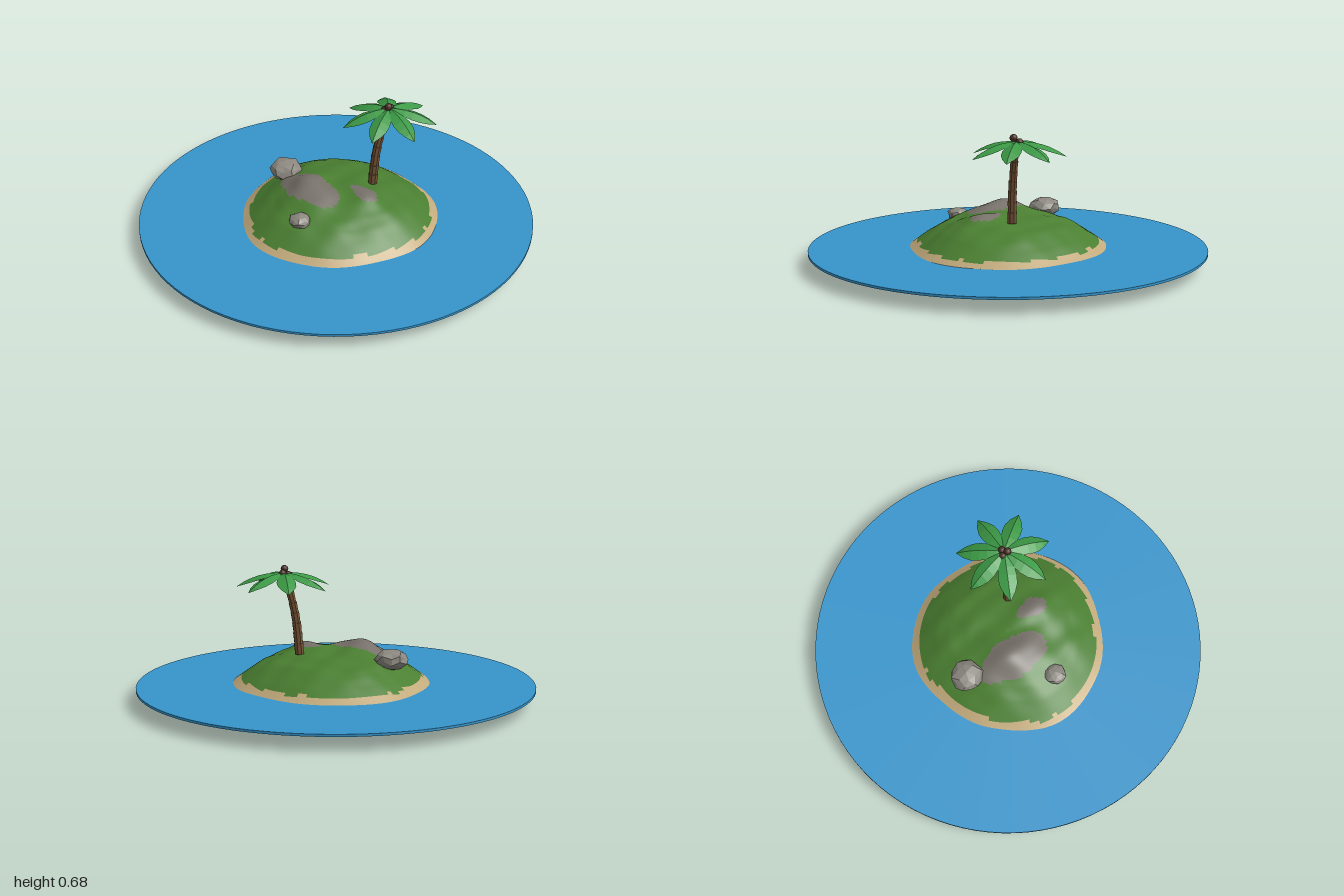
import * as THREE from 'three';

const material = (color, extra = {}) => new THREE.MeshStandardMaterial({ color, ...extra });

function addMesh(parent, name, geometry, mat, position = [0, 0, 0]) {
  const mesh = new THREE.Mesh(geometry, mat);
  mesh.name = name;
  mesh.position.set(...position);
  parent.add(mesh);
  return mesh;
}

const bump = (x, z, cx, cz, sx, sz) => Math.exp(-(((x - cx) / sx) ** 2) - ((z - cz) / sz) ** 2);
const ripple = (x, z) => Math.sin(x * 31 + z * 9) * Math.sin(z * 27 - x * 13 + 1);

// Island slope from centre to sea floor: [radius, height]
const SLOPE = [[0, 0.235], [0.1, 0.235], [0.2, 0.225], [0.3, 0.2], [0.36, 0.172], [0.42, 0.133],
  [0.5, 0.076], [0.56, 0.044], [0.62, 0.018], [0.68, 0]];

function slopeHeight(r) {
  const i = Math.max(1, SLOPE.findIndex(p => p[0] >= r));
  if (r >= 0.68) return 0;
  const [a, b] = [SLOPE[i - 1], SLOPE[i]];
  return THREE.MathUtils.lerp(a[1], b[1], (r - a[0]) / (b[0] - a[0]));
}

function groundHeight(x, z) {
  const r = Math.hypot(x, z), angle = Math.atan2(z, x);
  const shore = 0.016 * Math.cos(angle - 0.9) + 0.014 * Math.cos(3 * (angle - 0.75)) + 0.004 * Math.sin(7 * angle);
  const fade = Math.min(1, r / 0.25) * (1 - THREE.MathUtils.smoothstep(r, 0.5, 0.68));
  const inland = 1 - THREE.MathUtils.smoothstep(r, 0.3, 0.52);
  return slopeHeight(Math.max(0, r - shore * fade))
    + 0.058 * bump(x, z, -0.14, -0.03, 0.11, 0.16)
    + 0.035 * bump(x, z, 0.07, 0.17, 0.09, 0.13)
    + 0.005 * inland * ripple(x, z);
}

// Ground type of a point: bare stone on the knolls, sand by the shore, grass between
function groundType(x, y, z) {
  const dx = x + 0.14, dz = z + 0.01;
  const across = dx * 0.96 - dz * 0.28, along = dx * 0.28 + dz * 0.96;
  const wobble = 0.12 * ripple(x, z);
  if ((across / 0.1) ** 2 + (along / 0.19) ** 2 < 1 + wobble) return 'stone';
  if (((x - 0.08) / 0.06) ** 2 + ((z - 0.15) / 0.08) ** 2 < 0.9 + 4 * wobble) return 'stone';
  return y < 0.106 + 0.05 * wobble ? 'sand' : 'grass';
}

// One hollow shell of ground, divided by colour while sharing its smooth normals
function buildIsland() {
  const island = new THREE.Group();
  island.name = 'island';
  const rings = 40, sides = 120, positions = [], all = [];
  const faces = { sand: [], grass: [], stone: [] };
  for (let i = 0; i <= rings; i++) {
    for (let j = 0; j < sides; j++) {
      const r = 0.68 * i / rings, a = j / sides * Math.PI * 2;
      const x = r * Math.cos(a), z = r * Math.sin(a);
      positions.push(x, groundHeight(x, z), z);
    }
  }
  for (let i = 0; i < rings; i++) {
    for (let j = 0; j < sides; j++) {
      const k = (j + 1) % sides;
      const a = i * sides + j, b = a + sides, c = i * sides + k, d = c + sides;
      const quad = i === 0 ? [a, d, b] : [a, c, b, c, d, b];
      const mid = n => (positions[3 * a + n] + positions[3 * d + n]) / 2;
      faces[groundType(mid(0), mid(1), mid(2))].push(...quad);
      all.push(...quad);
    }
  }
  const ground = new THREE.BufferGeometry();
  ground.setAttribute('position', new THREE.Float32BufferAttribute(positions, 3));
  ground.setIndex(all);
  ground.computeVertexNormals();
  // The centre point is repeated, so it takes a plain upward normal
  for (let j = 0; j < sides; j++) ground.attributes.normal.setXYZ(j, 0, 1, 0);
  const colors = { sand: 0xc2aa7c, grass: 0x4a7f31, stone: 0x77716a };
  for (const type in faces) {
    const part = ground.clone().setIndex(faces[type]);
    addMesh(island, type, part, material(colors[type], { side: THREE.DoubleSide }));
  }
  return island;
}

// Faceted boulder: a coarse sphere pushed in and out by a rule
function boulder(radius, seed) {
  const geo = new THREE.IcosahedronGeometry(radius, 1);
  const p = geo.attributes.position, v = new THREE.Vector3();
  for (let i = 0; i < p.count; i++) {
    v.fromBufferAttribute(p, i);
    const n = v.clone().divideScalar(radius);
    v.multiplyScalar(1 + 0.11 * Math.sin(n.x * 5 + seed) * Math.cos(n.z * 4 + n.y * 3 + seed * 2));
    p.setXYZ(i, v.x, v.y, v.z);
  }
  geo.computeVertexNormals();
  return geo;
}

// Pointed frond along +x, folded down from its midrib and drooping to the tip
function frondGeometry() {
  const halfWidths = [0.01, 0.026, 0.04, 0.047, 0.044, 0.028, 0];
  const positions = [], index = [];
  halfWidths.forEach((w, i) => {
    const t = i / (halfWidths.length - 1), x = 0.238 * t, y = -0.074 * t ** 2.4;
    positions.push(x, y - w * 0.4, -w, x, y, 0, x, y - w * 0.4, w);
    if (i === 0) return;
    const a = (i - 1) * 3, b = i * 3;
    for (let s = 0; s < 2; s++) index.push(a + s, a + s + 1, b + s, a + s + 1, b + s + 1, b + s);
  });
  const geo = new THREE.BufferGeometry();
  geo.setAttribute('position', new THREE.Float32BufferAttribute(positions, 3));
  geo.setIndex(index);
  geo.computeVertexNormals();
  return geo;
}

function buildPalm() {
  const palm = new THREE.Group();
  palm.name = 'palmTree';
  const bark = material(0x755336, { flatShading: true });
  const path = new THREE.CatmullRomCurve3([[0.18, 0.235, 0.053], [0.195, 0.4, 0.056], [0.225, 0.54, 0.06],
    [0.258, 0.645, 0.062]].map(p => new THREE.Vector3(...p)));

  // Trunk of short flared segments
  const count = 8, up = new THREE.Vector3(0, 1, 0);
  for (let i = 0; i < count; i++) {
    const a = path.getPointAt(i / count), b = path.getPointAt((i + 1) / count);
    const r = 0.025 - 0.007 * i / count, dir = b.clone().sub(a);
    const geo = new THREE.CylinderGeometry(r, r - 0.002, dir.length() * 1.06, 8);
    const seg = addMesh(palm, 'trunkSegment', geo, bark, a.add(b).multiplyScalar(0.5).toArray());
    seg.quaternion.setFromUnitVectors(up, dir.normalize());
  }

  // Seven fronds around the crown
  const leaf = material(0x3c9a46, { flatShading: true, side: THREE.DoubleSide });
  const frond = frondGeometry();
  for (let i = 0; i < 7; i++) {
    addMesh(palm, 'frond', frond, leaf, [0.262, 0.648, 0.06]).rotation.y = 0.29 - i * Math.PI * 2 / 7;
  }

  // Coconuts
  const nut = material(0x4a3026);
  for (const p of [[0.25, 0.664, 0.074], [0.272, 0.645, 0.052], [0.245, 0.637, 0.048]]) {
    addMesh(palm, 'coconut', new THREE.SphereGeometry(0.019, 10, 8), nut, p);
  }
  return palm;
}

export function createModel() {
  const model = new THREE.Group();
  model.name = 'desertIsland';

  // Thin disc of water
  addMesh(model, 'sea', new THREE.CylinderGeometry(1, 1, 0.012, 96), material(0x3594cb), [0, 0.074, 0]);
  model.add(buildIsland());

  // Loose boulders
  const rock = material(0x8c8880, { flatShading: true });
  const large = addMesh(model, 'largeBoulder', boulder(0.082, 1), rock, [-0.16, 0.227, -0.268]);
  large.scale.set(1, 0.62, 1);
  const small = addMesh(model, 'smallBoulder', boulder(0.055, 4), rock, [-0.275, 0.202, 0.165]);
  small.scale.set(1, 0.6, 1);

  model.add(buildPalm());
  return model;
}
